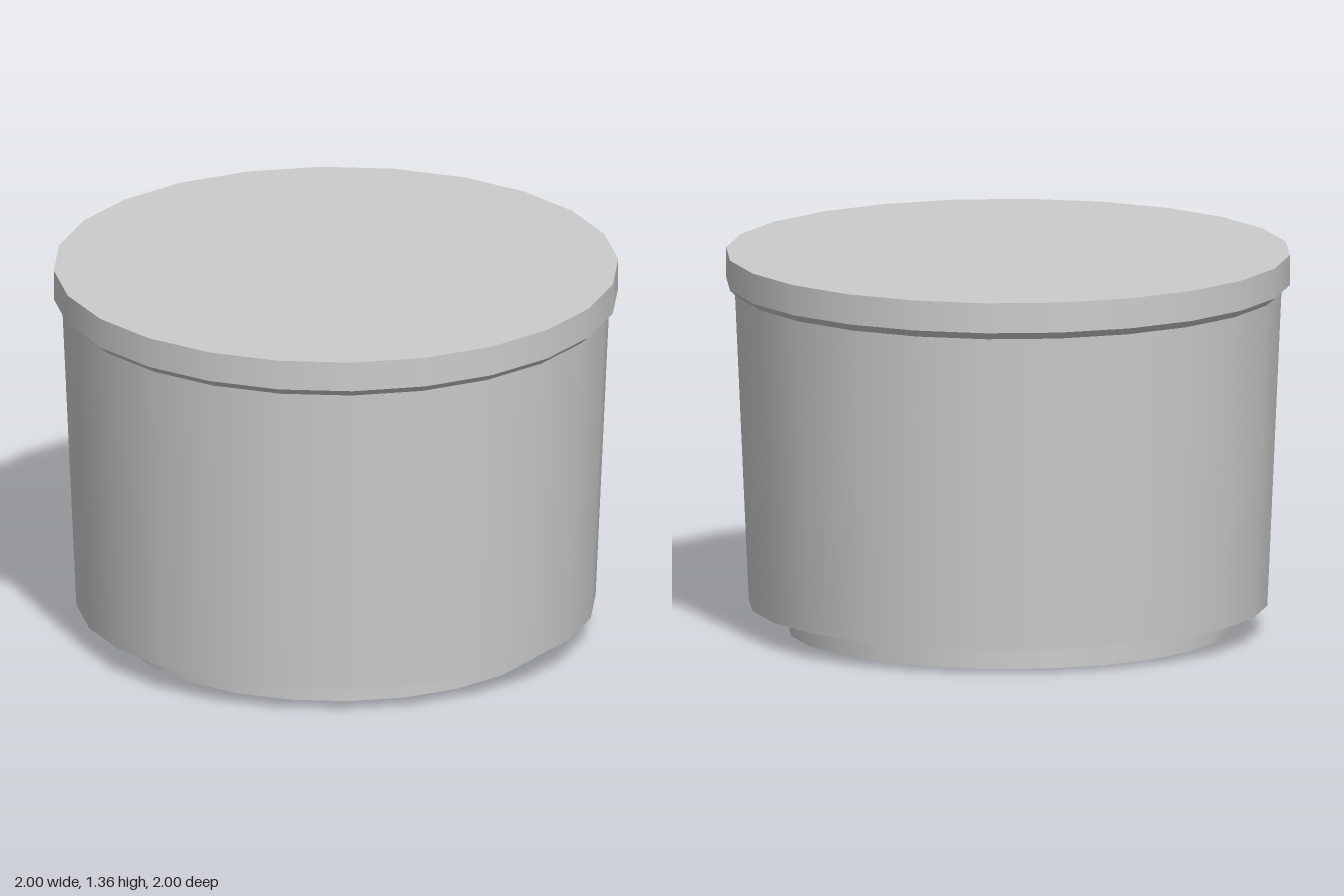
import * as THREE from 'three';

const SIDES = 24;

export function createModel() {
  const group = new THREE.Group();
  const material = new THREE.MeshStandardMaterial({ color: 0xcccccc });

  // One round, optionally tapered section between two heights
  function section(name, bottomRadius, topRadius, bottom, top, open = false) {
    const geometry = new THREE.CylinderGeometry(topRadius, bottomRadius, top - bottom, SIDES, 1, open);
    const mesh = new THREE.Mesh(geometry, material);
    mesh.name = name;
    mesh.position.y = (bottom + top) / 2;
    group.add(mesh);
  }

  // Recessed foot under the cup
  section('foot', 0.78, 0.78, 0, 0.095);
  // Cup wall, widening upward
  section('body', 0.92, 0.97, 0.095, 1.223);
  // Bevel out to the lid, then the flat lid with its straight edge
  section('lidBevel', 0.97, 1, 1.223, 1.25, true);
  section('lid', 1, 1, 1.25, 1.358);

  return group;
}
